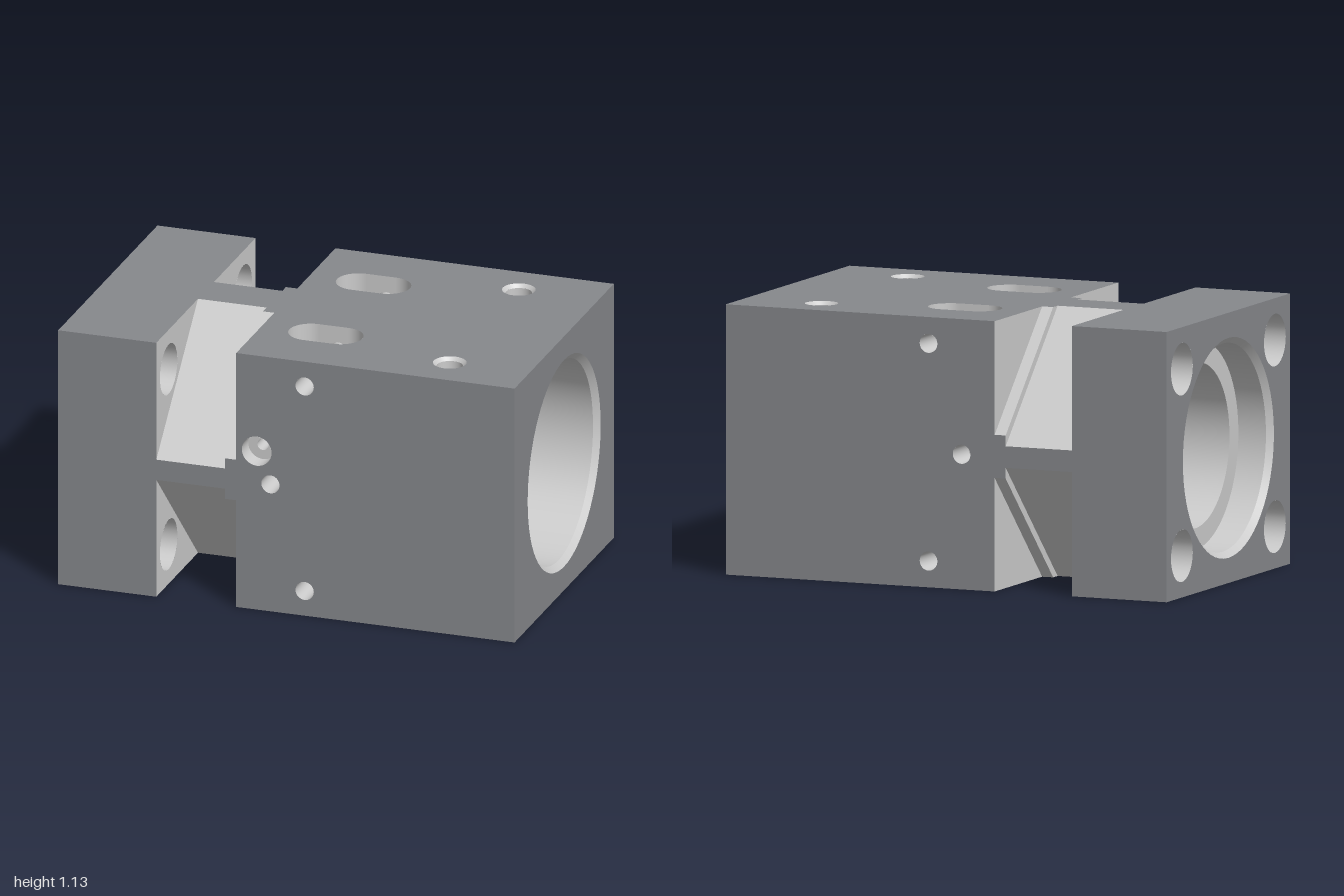
import * as THREE from 'three';

const H = 0.565, D = 0.625;                 // half height, half depth (half length is 1)
const outerMat = new THREE.MeshStandardMaterial({ color: 0x86888c, side: THREE.DoubleSide });
const cutMat = new THREE.MeshStandardMaterial({ color: 0xcccccc, side: THREE.DoubleSide });

// Bore profile along x: [x, radius]
const BORE = [[-1, 0.46], [-0.975, 0.435], [-0.85, 0.435], [-0.85, 0.345], [-0.6, 0.345], [-0.6, 0.305],
  [-0.06, 0.305], [0.03, 0.355], [0.3, 0.355], [0.3, 0.435], [0.975, 0.435], [1, 0.46]];
// Vertical openings that break into the bore: centre, half straight length, radius
const SLOT = { x: 0.06, z: 0.3, half: 0.065, r: 0.095 };
const PIN = { x: 0.65, z: 0.435, half: 0, r: 0.055 };
const FLANGE = { y: 0.39, z: 0.47, r: 0.11 };
const CROSS = { x: 0.08, y: 0.455, r: 0.04 };

function boreRadius(x) {
  for (let i = 1; i < BORE.length; i++) {
    const [x0, r0] = BORE[i - 1], [x1, r1] = BORE[i];
    if (x <= x1 && x1 > x0) return r0 + (r1 - r0) * (x - x0) / (x1 - x0);
  }
  return 0.46;
}
const boreHeight = (x, z) => Math.sqrt(Math.max(0, boreRadius(x) ** 2 - z * z));
const inside = (c, x, z) => Math.hypot(Math.max(0, Math.abs(x - c.x) - c.half), z - c.z) < c.r;

function add(parent, name, geo, mat) {
  const mesh = new THREE.Mesh(geo, mat);
  mesh.name = name;
  parent.add(mesh);
  return mesh;
}

// Surface ruled between two point functions
function strip(n, a, b) {
  const pos = [], idx = [];
  for (let i = 0; i <= n; i++) {
    pos.push(...a(i / n), ...b(i / n));
    if (i < n) idx.push(2 * i, 2 * i + 1, 2 * i + 2, 2 * i + 1, 2 * i + 3, 2 * i + 2);
  }
  const g = new THREE.BufferGeometry();
  g.setAttribute('position', new THREE.Float32BufferAttribute(pos, 3));
  g.setIndex(idx);
  g.computeVertexNormals();
  return g;
}

// Flat face from a 2D outline with holes, mapped into space and turned outward
function face(points, holes, map, outward) {
  const shape = new THREE.Shape(points.map(p => new THREE.Vector2(...p)));
  shape.holes = holes;
  const g = new THREE.ShapeGeometry(shape, 32), p = g.attributes.position;
  for (let i = 0; i < p.count; i++) p.setXYZ(i, ...map(p.getX(i), p.getY(i)));
  g.computeVertexNormals();
  const n = new THREE.Vector3().fromBufferAttribute(g.attributes.normal, 0);
  if (n.dot(new THREE.Vector3(...outward)) < 0) {
    g.setIndex(Array.from(g.index.array).reverse());
    g.computeVertexNormals();
  }
  return g;
}
const circle = (x, y, r) => new THREE.Path().absarc(x, y, r, 0, Math.PI * 2);
const slotPath = (x, y, half, r) => new THREE.Path()
  .absarc(x + half, y, r, -Math.PI / 2, Math.PI / 2).absarc(x - half, y, r, Math.PI / 2, Math.PI * 1.5);
const rect = (a, b) => [[-a, -b], [a, -b], [a, b], [-a, b]];

// Side outline with the stepped neck; e = half width, a and b = neck half widths
const neckOutline = (e, a, b) => {
  const top = [[-1, e], [-0.57, e], [-0.57, a], [-0.27, a], [-0.27, b], [-0.22, b], [-0.22, e], [1, e]];
  return [...top, ...top.map(([x, y]) => [x, -y]).reverse()];
};

// Open round hole wall along an axis
function tunnel(r0, r1, from, to, axis) {
  const g = new THREE.CylinderGeometry(r1, r0, to - from, 32, 1, true).translate(0, (from + to) / 2, 0);
  if (axis === 'x') g.rotateZ(-Math.PI / 2);
  if (axis === 'z') g.rotateX(Math.PI / 2);
  return g;
}

function buildOuter(body) {
  const signs = [1, -1];
  for (const s of signs) {
    const openings = signs.flatMap(k => [slotPath(SLOT.x, k * SLOT.z, SLOT.half, SLOT.r), circle(PIN.x, k * PIN.z, 0.07)]);
    add(body, s > 0 ? 'topFace' : 'bottomFace',
      face(neckOutline(D, 0.1, 0.145), openings, (u, v) => [u, s * H, v], [0, s, 0]), outerMat);
    const sideHoles = [...signs.map(k => circle(CROSS.x, k * CROSS.y, CROSS.r)), circle(-0.07, 0, 0.04)];
    if (s > 0) sideHoles.push(circle(-0.13, 0.14, 0.065));
    add(body, s > 0 ? 'frontFace' : 'backFace',
      face(neckOutline(H, 0.045, 0.09), sideHoles, (u, v) => [u, v, s * D], [0, 0, s]), outerMat);
    const endHoles = [circle(0, 0, 0.46)];
    if (s < 0) for (const i of signs) for (const j of signs) endHoles.push(circle(i * FLANGE.z, j * FLANGE.y, FLANGE.r));
    add(body, s > 0 ? 'leftEndFace' : 'rightEndFace',
      face(rect(D, H), endHoles, (u, v) => [s, v, u], [s, 0, 0]), outerMat);
  }
}

// Bore wall, each strip broken where a vertical opening cuts through
function buildBore(body) {
  for (let k = 1; k < BORE.length; k++) {
    const [x0, r0] = BORE[k - 1], [x1, r1] = BORE[k], cutter = x0 >= 0.3 ? PIN : SLOT;
    const at = (t, f) => {
      const a = f * Math.PI * 2, r = r0 + (r1 - r0) * t;
      return [x0 + (x1 - x0) * t, r * Math.cos(a), r * Math.sin(a)];
    };
    const hit = (t, f) => { const p = at(t, f); return inside(cutter, p[0], Math.abs(p[2])); };
    const gap = f => {
      let mid = -1;
      for (let i = 0; i <= 80 && mid < 0; i++) if (hit(i / 80, f)) mid = i / 80;
      if (mid < 0) {
        const c = x1 > x0 ? THREE.MathUtils.clamp((cutter.x - x0) / (x1 - x0), 0, 1) : 1;
        return [c, c];
      }
      return [0, 1].map(end => {
        if (hit(end, f)) return end;
        let a = mid, b = end;
        for (let i = 0; i < 24; i++) { const m = (a + b) / 2; if (hit(m, f)) a = m; else b = m; }
        return a;
      });
    };
    add(body, 'boreWall', strip(240, f => at(0, f), f => at(gap(f)[0], f)), cutMat);
    add(body, 'boreWall', strip(240, f => at(gap(f)[1], f), f => at(1, f)), cutMat);
  }
}

// Everything that repeats in the four corners, made for +y +z
function buildCorner() {
  const g = new THREE.Group();
  g.name = 'corner';
  // Sloped neck cut with a shallow step
  const slope = (xa, xb, a, b) => strip(1, t => [xa, a[0] + (b[0] - a[0]) * t, a[1] + (b[1] - a[1]) * t],
    t => [xb, a[0] + (b[0] - a[0]) * t, a[1] + (b[1] - a[1]) * t]);
  add(g, 'neckSlope', slope(-0.57, -0.27, [H, 0.1], [0.045, D]), cutMat);
  add(g, 'neckStepSlope', slope(-0.27, -0.22, [H, 0.145], [0.09, D]), cutMat);
  add(g, 'neckStep', face([[0.1, H], [0.145, H], [D, 0.09], [D, 0.045]], [], (u, v) => [-0.27, v, u], [-1, 0, 0]), cutMat);
  add(g, 'flangeWall', face([[0.1, H], [D, H], [D, 0.045]], [circle(FLANGE.z, FLANGE.y, FLANGE.r)],
    (u, v) => [-0.57, v, u], [1, 0, 0]), cutMat);
  add(g, 'bodyWall', face([[0.145, H], [D, H], [D, 0.09]], [], (u, v) => [-0.22, v, u], [-1, 0, 0]), cutMat);
  add(g, 'flangeHole', tunnel(FLANGE.r, FLANGE.r, -1, -0.57, 'x'), cutMat).position.set(0, FLANGE.y, FLANGE.z);

  // Vertical walls that run down to the bore
  const wall = (cx, cz, r, a0, a1, top) => {
    const p = t => [cx + r * Math.cos(a0 + (a1 - a0) * t), cz + r * Math.sin(a0 + (a1 - a0) * t)];
    return strip(40, t => { const [x, z] = p(t); return [x, top, z]; },
      t => { const [x, z] = p(t); return [x, boreHeight(x, z), z]; });
  };
  const q = Math.PI / 2;
  add(g, 'slotEnd', wall(SLOT.x + SLOT.half, SLOT.z, SLOT.r, -q, q, H), cutMat);
  add(g, 'slotEnd', wall(SLOT.x - SLOT.half, SLOT.z, SLOT.r, q, 3 * q, H), cutMat);
  for (const s of [-1, 1]) {
    const z = SLOT.z + s * SLOT.r, xa = SLOT.x - SLOT.half, xb = SLOT.x + SLOT.half, pts = [[xb, H], [xa, H]];
    for (let i = 0; i <= 12; i++) {
      const x = xa + (xb - xa) * i / 12;
      pts.push([x, boreHeight(x, z)]);
    }
    add(g, 'slotSide', face(pts, [circle(CROSS.x, CROSS.y, CROSS.r)], (u, v) => [u, v, z], [0, 0, -s]), cutMat);
  }
  add(g, 'pinHole', wall(PIN.x, PIN.z, PIN.r, 0, 4 * q, H - 0.015), cutMat);
  add(g, 'pinHoleRim', tunnel(PIN.r, 0.07, H - 0.015, H, 'y'), cutMat).position.set(PIN.x, 0, PIN.z);

  // Cross hole, interrupted by the slot
  for (const [a, b] of [[0, SLOT.z - SLOT.r], [SLOT.z + SLOT.r, D]])
    add(g, 'crossHole', tunnel(CROSS.r, CROSS.r, a, b, 'z'), cutMat).position.set(CROSS.x, CROSS.y, 0);
  return g;
}

// Blind holes in the front and back faces
function buildBlindHoles(body) {
  const blind = (x, y, r, from, depth, s, inner = 0) => {
    const g = new THREE.Group();
    g.name = 'blindHole';
    add(g, 'holeWall', tunnel(r, r, from - depth, from, 'z'), cutMat);
    const floor = inner ? new THREE.RingGeometry(inner, r, 32) : new THREE.CircleGeometry(r, 32);
    add(g, 'holeFloor', floor, cutMat).position.z = from - depth;
    g.position.set(x, y, 0);
    if (s < 0) g.rotation.y = Math.PI;
    body.add(g);
  };
  blind(-0.07, 0, 0.04, D, 0.16, 1);
  blind(-0.07, 0, 0.04, D, 0.16, -1);
  blind(-0.13, 0.14, 0.065, D, 0.08, 1, 0.025);
  blind(-0.13, 0.14, 0.025, D - 0.08, 0.1, 1);
}

export function createModel() {
  const root = new THREE.Group();
  root.name = 'bearingBlock';
  const body = new THREE.Group();
  body.name = 'body';
  body.position.y = H;
  root.add(body);
  buildOuter(body);
  buildBore(body);
  for (const sy of [1, -1]) for (const sz of [1, -1]) {
    const corner = buildCorner();
    corner.scale.set(1, sy, sz);
    body.add(corner);
  }
  buildBlindHoles(body);
  return root;
}
